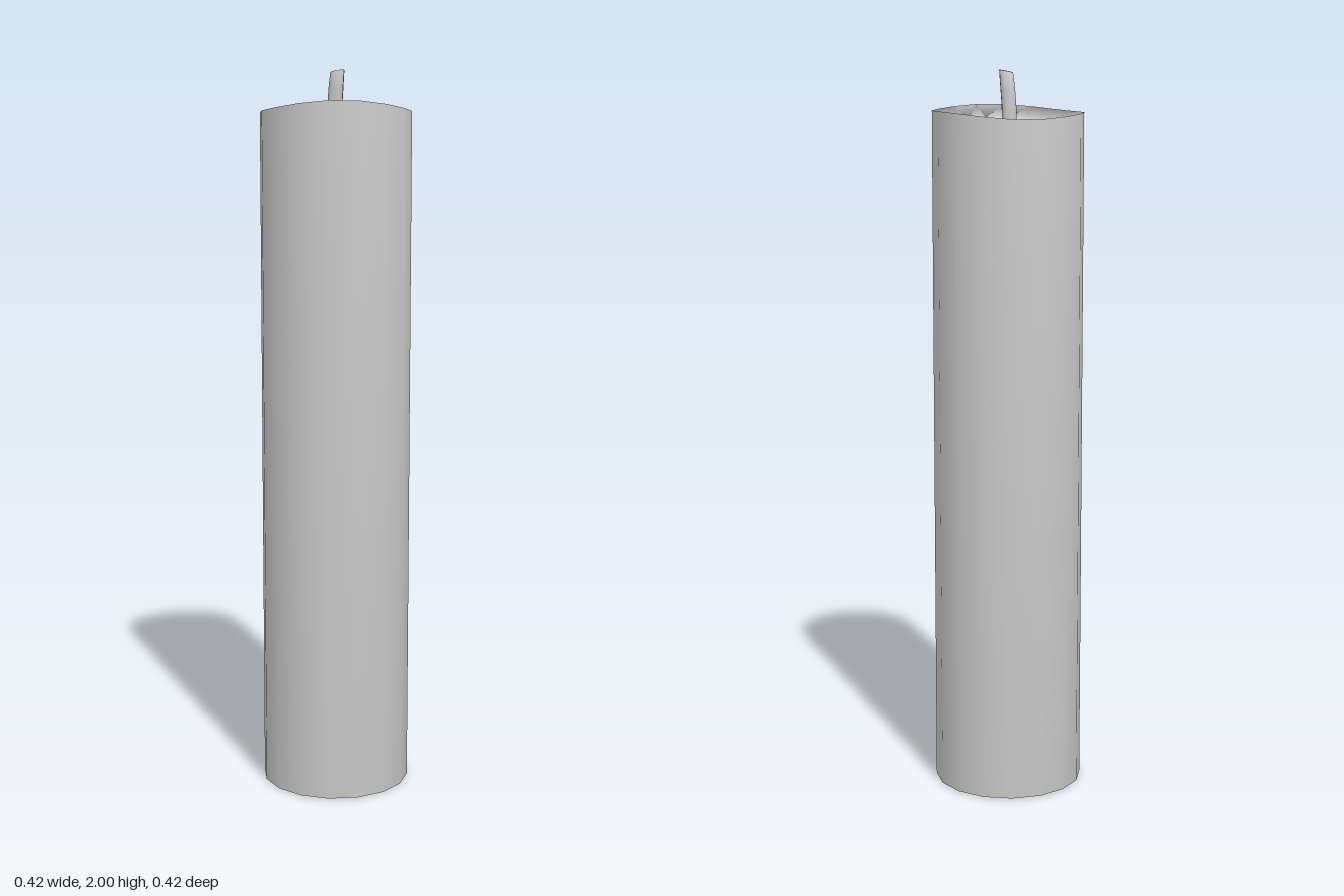
import * as THREE from 'three';

const material = new THREE.MeshStandardMaterial({ color: 0xcccccc, side: THREE.DoubleSide });

// Smooth skin over rings of equal side count; a ring is a function angle -> [x, y, z].
// bottom and top are optional centre points that close the ends with fans.
function loft(name, rings, sides, bottom, top) {
  const pos = [], index = [];
  for (const ring of rings)
    for (let i = 0; i < sides; i++) pos.push(...ring((i / sides) * Math.PI * 2));
  for (let r = 0; r < rings.length - 1; r++)
    for (let i = 0; i < sides; i++) {
      const a = r * sides + i, b = r * sides + (i + 1) % sides;
      index.push(a, a + sides, b, b, a + sides, b + sides);
    }
  if (bottom) {
    const c = pos.length / 3;
    pos.push(...bottom);
    for (let i = 0; i < sides; i++) index.push(c, i, (i + 1) % sides);
  }
  if (top) {
    const c = pos.length / 3, o = (rings.length - 1) * sides;
    pos.push(...top);
    for (let i = 0; i < sides; i++) index.push(c, o + (i + 1) % sides, o + i);
  }
  const geo = new THREE.BufferGeometry();
  geo.setAttribute('position', new THREE.Float32BufferAttribute(pos, 3));
  geo.setIndex(index);
  geo.computeVertexNormals();
  const mesh = new THREE.Mesh(geo, material);
  mesh.name = name;
  return mesh;
}

// Uneven melted edge: high at the front, low at the back
const rimHeight = (a) =>
  1.888 + 0.022 * Math.sin(a) - 0.005 * Math.cos(a) + 0.004 * Math.cos(3 * a + 0.9);

const circle = (r, height) => (a) => [r * Math.cos(a), height(a), r * Math.sin(a)];

export function createModel() {
  const group = new THREE.Group();
  group.name = 'candle';
  const sides = 16;

  // Wax column with its rim rolling inwards
  const innerEdge = circle(0.148, (a) => rimHeight(a) * 0.7 + 1.888 * 0.3 - 0.033);
  group.add(loft('waxBody', [
    circle(0.208, () => 0),
    circle(0.208, rimHeight),
    innerEdge,
  ], sides, [0, 0, 0]));

  // Shallow melted hollow around the wick
  group.add(loft('meltedHollow', [
    innerEdge,
    circle(0.085, (a) => 1.826 + 0.005 * Math.sin(a)),
  ], sides, null, [0, 1.815, 0]));

  // Wick, leaning slightly forward, with a slanted tip
  const wickRing = (x, y, z, r, slant) => (a) =>
    [x + r * Math.cos(a), y + slant * (Math.cos(a) + Math.sin(a)), z + r * Math.sin(a)];
  group.add(loft('wick', [
    wickRing(-0.002, 1.80, -0.001, 0.021, 0),
    wickRing(-0.002, 1.90, -0.001, 0.021, 0),
    wickRing(0, 1.95, 0.003, 0.021, 0),
    wickRing(0.002, 1.996, 0.009, 0.020, 0.0028),
  ], 8, [-0.002, 1.80, -0.001], [0.002, 1.997, 0.009]));

  return group;
}
